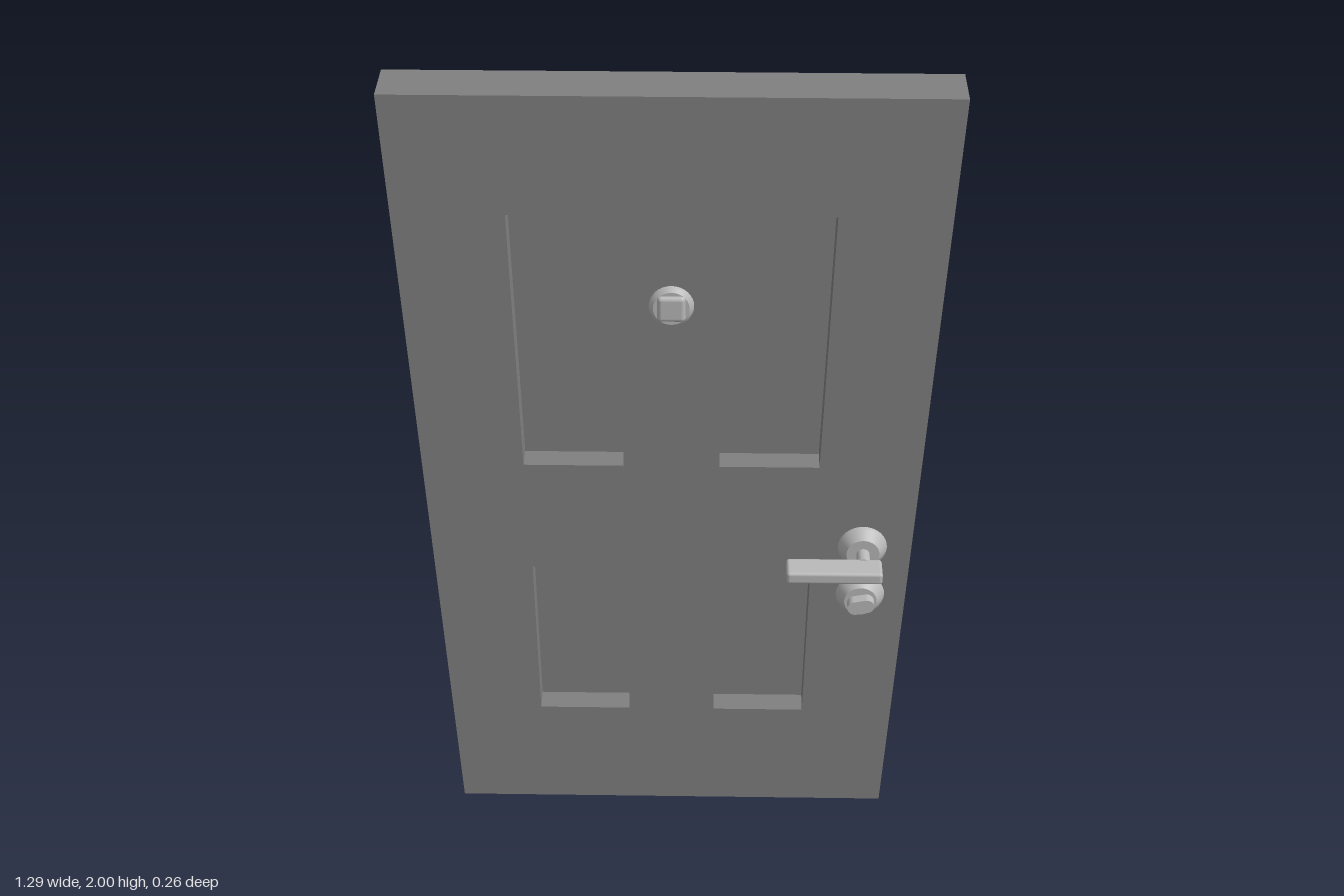
import * as THREE from 'three';
import { RoundedBoxGeometry } from 'three/addons/geometries/RoundedBoxGeometry.js';

const doorGrey = new THREE.MeshStandardMaterial({ color: 0x808080, side: THREE.DoubleSide });
doorGrey.name = 'door grey';
const metalGrey = new THREE.MeshStandardMaterial({ color: 0xb9b9b9 });
metalGrey.name = 'light metal';

const DEPTH = 0.13;   // door thickness
const RECESS = 0.06;  // panel depth

function add(parent, name, geometry, material, x = 0, y = 0, z = 0) {
  const mesh = new THREE.Mesh(geometry, material);
  mesh.name = name;
  mesh.position.set(x, y, z);
  parent.add(mesh);
  return mesh;
}

// Four corners, counter-clockwise from bottom left
function quad(y0, left0, right0, y1, left1, right1) {
  return [[left0, y0], [right0, y0], [right1, y1], [left1, y1]].map(([x, y]) => new THREE.Vector2(x, y));
}

// Open band of flat walls around an outline, from z = 0 back to z = -depth
function walls(outline, depth) {
  const pos = [];
  outline.forEach((a, i) => {
    const b = outline[(i + 1) % outline.length];
    pos.push(a.x, a.y, 0, a.x, a.y, -depth, b.x, b.y, -depth);
    pos.push(a.x, a.y, 0, b.x, b.y, -depth, b.x, b.y, 0);
  });
  const g = new THREE.BufferGeometry();
  g.setAttribute('position', new THREE.Float32BufferAttribute(pos, 3));
  g.computeVertexNormals();
  return g;
}

// Turned disc whose axis points out of the door
function turned(profile) {
  const points = profile.map(([r, z]) => new THREE.Vector2(r, z));
  // repeat corners so that each ring keeps crisp edges
  const crisp = points.flatMap((p, i) => (i > 0 && i < points.length - 1 ? [p, p.clone()] : [p]));
  const g = new THREE.LatheGeometry(crisp, 32).toNonIndexed();
  g.rotateX(Math.PI / 2);
  return g;
}

export function createModel() {
  const model = new THREE.Group();
  model.name = 'frontDoor';

  // Tapered hollow door leaf: front skin with panel openings, and the rim
  const door = new THREE.Group();
  door.name = 'doorLeaf';
  model.add(door);
  const outline = quad(0, -0.543, 0.543, 2, -0.645, 0.645);
  const skin = new THREE.Shape(outline);
  add(door, 'rim', walls(outline, DEPTH), doorGrey);

  // Each row: y, inner x, outer x at the bottom and at the top
  const rows = [
    { name: 'upper', low: [1.04, 0.114, 0.353], high: [1.71, 0.122, 0.372] },
    { name: 'lower', low: [0.297, 0.107, 0.333], high: [0.74, 0.11, 0.341] },
  ];
  for (const { name, low, high } of rows) {
    const [y0, in0, out0] = low;
    const [y1, in1, out1] = high;
    const recesses = {
      Left: quad(y0, in0, out0, y1, in1, out1),
      Right: quad(y0, -out0, -in0, y1, -out1, -in1),
    };
    for (const [side, corners] of Object.entries(recesses)) {
      skin.holes.push(new THREE.Path(corners));
      add(door, `${name}${side}RecessWalls`, walls(corners, RECESS), doorGrey);
    }
    // Raised back panel shared by both recesses of the row
    const back = quad(y0, -out0, out0, y1, -out1, out1);
    add(door, `${name}BackPanelSides`, walls(back, RECESS), doorGrey);
    add(door, `${name}BackPanel`, new THREE.ShapeGeometry(new THREE.Shape(back)), doorGrey, 0, 0, -RECESS);
  }
  add(door, 'frontSkin', new THREE.ShapeGeometry(skin), doorGrey);

  // Peephole
  const peephole = new THREE.Group();
  peephole.name = 'peephole';
  peephole.position.set(0, 1.48, 0);
  model.add(peephole);
  add(peephole, 'peepholeRing', turned([[0.052, 0], [0.05, 0.006], [0.042, 0.014], [0, 0.014]]), metalGrey);
  add(peephole, 'peepholeLens', new RoundedBoxGeometry(0.066, 0.066, 0.024, 3, 0.011), metalGrey, 0, 0, 0.011);

  // Round bases of the handle and of the lock
  const base = [[0, -0.001], [0.06, -0.001], [0.057, 0.006], [0.04, 0.032], [0, 0.032]];

  // Lever handle
  const handle = new THREE.Group();
  handle.name = 'leverHandle';
  handle.position.set(0.465, 0.81, 0);
  model.add(handle);
  add(handle, 'handleBase', turned(base), metalGrey);
  add(handle, 'handleStem', turned([[0.016, 0.03], [0.016, 0.075], [0, 0.075]]), metalGrey);
  add(handle, 'lever', new RoundedBoxGeometry(0.23, 0.032, 0.066, 3, 0.008), metalGrey, -0.072, -0.003, 0.099);

  // Deadbolt with a slightly turned oval thumb piece
  const lock = new THREE.Group();
  lock.name = 'deadbolt';
  lock.position.set(0.465, 0.668, 0);
  model.add(lock);
  add(lock, 'lockBase', turned(base), metalGrey);
  const oval = new THREE.Shape();
  oval.absarc(0.014, 0, 0.019, -Math.PI / 2, Math.PI / 2);
  oval.absarc(-0.014, 0, 0.019, Math.PI / 2, Math.PI * 1.5);
  const thumb = new THREE.ExtrudeGeometry(oval, { depth: 0.028, bevelEnabled: false, curveSegments: 12 });
  add(lock, 'thumbTurn', thumb, metalGrey, 0, 0, 0.03).rotation.z = 0.2;

  return model;
}
